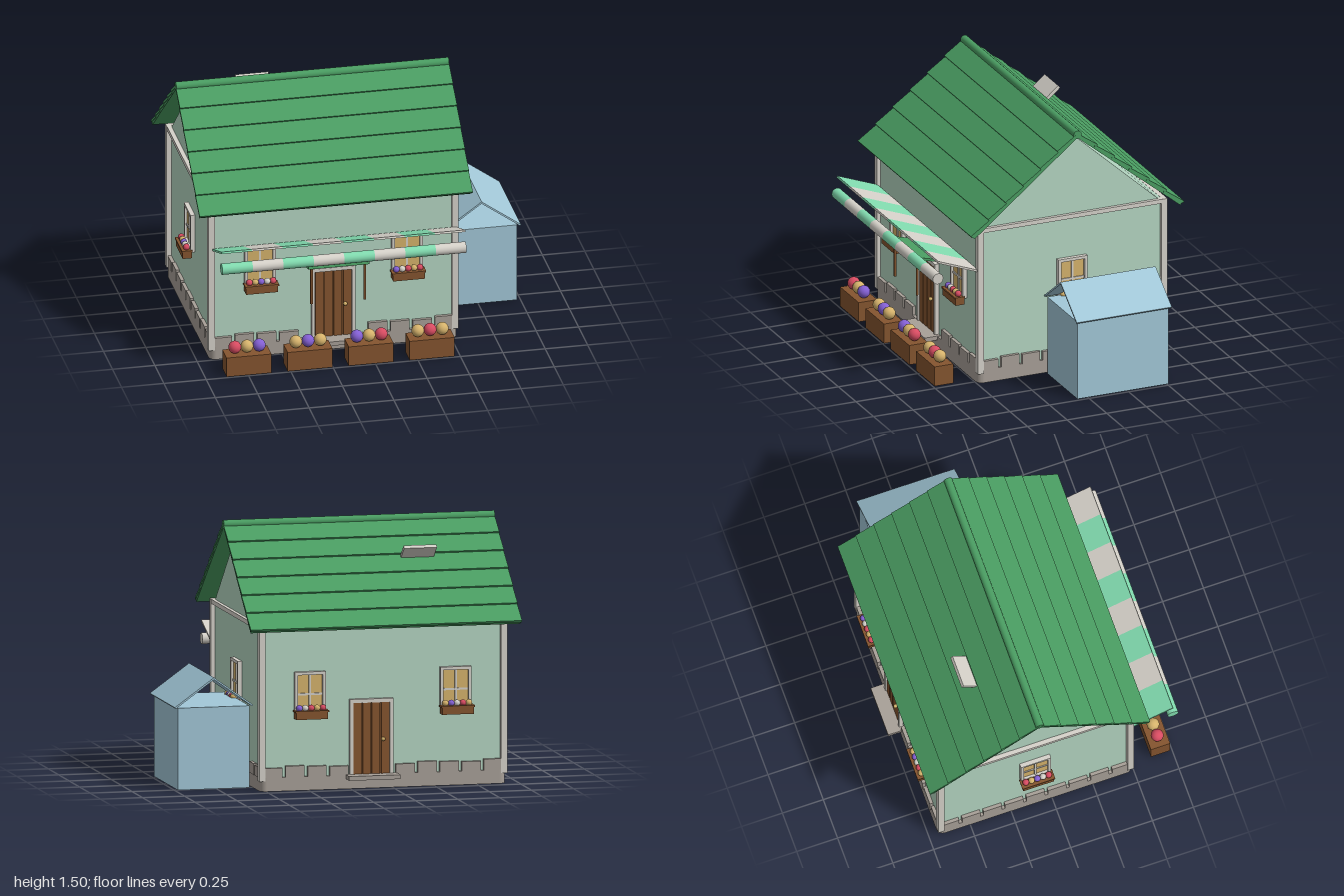
import * as THREE from 'three';

const mat = (name, color) => {
  const m = new THREE.MeshStandardMaterial({ color });
  m.name = name;
  return m;
};

export function createModel() {
  const wallGreen = mat('wall green', 0xb4d6c2);
  const roofGreen = mat('roof green', 0x4a9d62);
  const mint = mat('awning mint', 0x82dcb0);
  const trim = mat('trim white', 0xd6d2ca);
  const wood = mat('wood brown', 0x85552f);
  const stone = mat('stone grey', 0xa8a098);
  const blue = mat('shed blue', 0xa2c8d8);
  const yellow = mat('warm yellow', 0xd6b36c);
  const red = mat('flower red', 0xd84c62);
  const purple = mat('flower purple', 0x8460d4);

  const model = new THREE.Group();
  model.name = 'cottage';
  const CX = -0.195, CZ = -0.1; // centre of the house

  const add = (parent, name, geo, material, x, y, z) => {
    const m = new THREE.Mesh(geo, material);
    m.name = name;
    m.position.set(x, y, z);
    parent.add(m);
    return m;
  };
  const box = (parent, name, material, w, h, d, x, y, z) =>
    add(parent, name, new THREE.BoxGeometry(w, h, d), material, x, y, z);
  const ball = (parent, name, material, r, x, y, z) =>
    add(parent, name, new THREE.SphereGeometry(r, 20, 14), material, x, y, z);
  const group = (name, x, y, z, ry = 0) => {
    const g = new THREE.Group();
    g.name = name;
    g.position.set(x, y, z);
    g.rotation.y = ry;
    model.add(g);
    return g;
  };

  // Foundation slab with rounded corners
  const hw = 0.73, hd = 0.595, r = 0.04;
  const slab = new THREE.Shape();
  slab.absarc(hw - r, hd - r, r, 0, Math.PI / 2);
  slab.absarc(-hw + r, hd - r, r, Math.PI / 2, Math.PI);
  slab.absarc(-hw + r, -hd + r, r, Math.PI, Math.PI * 1.5);
  slab.absarc(hw - r, -hd + r, r, Math.PI * 1.5, Math.PI * 2);
  const slabGeo = new THREE.ExtrudeGeometry(slab, { depth: 0.08, bevelEnabled: false, curveSegments: 5 });
  slabGeo.rotateX(-Math.PI / 2);
  add(model, 'foundation', slabGeo, stone, CX, 0, CZ);

  // Walls and gables
  box(model, 'walls', wallGreen, 1.425, 0.88, 1.15, CX + 0.003, 0.52, CZ);
  const gable = new THREE.Shape([
    new THREE.Vector2(-0.56, 0.95), new THREE.Vector2(0.56, 0.95), new THREE.Vector2(0, 1.455)]);
  const gableGeo = new THREE.ExtrudeGeometry(gable, { depth: 1.425, bevelEnabled: false });
  gableGeo.rotateY(Math.PI / 2);
  add(model, 'gables', gableGeo, wallGreen, CX + 0.003 - 0.7125, 0, CZ);

  // Corner posts and top beams
  for (const s of [-1, 1]) {
    for (const t of [-1, 1])
      box(model, 'cornerPost', trim, 0.038, 0.9, 0.038, CX + s * 0.719, 0.51, CZ + t * 0.579);
    box(model, 'sideBeam', trim, 0.03, 0.026, 1.196, CX + s * 0.721, 0.948, CZ);
    box(model, 'longBeam', trim, 1.476, 0.026, 0.03, CX, 0.948, CZ + s * 0.583);
  }

  // Roof slopes with overlapping courses
  const pitch = Math.atan2(0.53, 0.655), len = 0.842, courses = 6, step = len / courses;
  for (const ry of [0, Math.PI]) {
    const side = group('roofSlope', CX, 1.472, CZ);
    side.rotation.set(pitch, ry, 0, 'YXZ');
    box(side, 'roofPanel', roofGreen, 1.605, 0.018, len, 0, 0, len / 2);
    for (let i = 0; i < courses; i++) {
      const c = box(side, 'roofCourse', roofGreen, 1.612, 0.014, step + 0.012, 0, 0.011, (i + 0.5) * step);
      c.rotation.x = -0.075;
    }
  }
  const ridge = add(model, 'ridge', new THREE.CylinderGeometry(0.025, 0.025, 1.61, 16), roofGreen, CX, 1.48, CZ);
  ridge.rotation.z = Math.PI / 2;

  // Raised roof hatch
  const hatch = box(model, 'roofHatch', trim, 0.195, 0.02, 0.125, -0.482, 1.318, -0.378);
  hatch.rotation.x = Math.atan2(0.08, 0.095);

  // Windows with flower boxes, modelled facing +z
  const blooms = [red, yellow, purple, trim, red, yellow];
  const addWindow = (x, z, ry, shift) => {
    const g = group('window', x, 0, z, ry);
    box(g, 'windowPane', yellow, 0.165, 0.22, 0.02, 0, 0.575, 0);
    for (const s of [-1, 1]) {
      box(g, 'frameSide', trim, 0.018, 0.236, 0.035, s * 0.083, 0.573, 0.008);
      box(g, 'frameRail', trim, 0.184, 0.018, 0.035, 0, 0.573 + s * 0.109, 0.008);
    }
    box(g, 'mullion', trim, 0.012, 0.22, 0.024, 0, 0.573, 0.004);
    box(g, 'crossbar', trim, 0.16, 0.012, 0.024, 0, 0.56, 0.004);
    box(g, 'flowerBox', wood, 0.188, 0.045, 0.055, 0, 0.442, 0.045);
    box(g, 'flowerBoxRim', wood, 0.2, 0.01, 0.062, 0, 0.465, 0.046);
    for (let i = 0; i < 5; i++)
      ball(g, 'boxFlower', blooms[(i + shift) % 6], 0.019, (i - 2) * 0.035, 0.483, 0.046);
  };
  const front = 0.475, back = -0.675, right = 0.52, left = -0.905;
  [-0.627, 0.24].forEach((x, i) => {
    addWindow(x, front, 0, i * 2);
    addWindow(x, back, Math.PI, i + 1);
  });
  addWindow(right, CZ, Math.PI / 2, 1);
  addWindow(left, CZ, -Math.PI / 2, 0);

  // Plank doors with frame, knob and step
  const addDoor = (x, z, ry) => {
    const g = group('door', x, 0, z, ry);
    box(g, 'doorBack', wood, 0.22, 0.42, 0.016, 0, 0.29, 0);
    for (let i = 0; i < 4; i++)
      box(g, 'doorPlank', wood, 0.048, 0.42, 0.024, (i - 1.5) * 0.055, 0.29, 0.006);
    for (const s of [-1, 1]) box(g, 'doorJamb', trim, 0.02, 0.44, 0.04, s * 0.119, 0.3, 0.006);
    box(g, 'doorLintel', trim, 0.258, 0.022, 0.04, 0, 0.51, 0.006);
    ball(g, 'doorKnob', yellow, 0.012, 0.068, 0.285, 0.027);
    box(g, 'doorStep', stone, 0.305, 0.025, 0.11, 0, 0.071, 0.045);
  };
  addDoor(CX, front, 0);
  addDoor(-0.125, back, Math.PI);

  // Base stones around the walls
  const addStones = (x, z, ry, count, gap) => {
    const g = group('baseStones', x, 0, z, ry);
    for (let i = 0; i < count; i++) {
      const px = (i - (count - 1) / 2) * 0.131;
      if (gap !== null && Math.abs(px - gap) < 0.185) continue;
      const h = 0.055 + ((i * 2) % 3) * 0.005;
      box(g, 'baseStone', stone, 0.112, h, 0.03, px, 0.08 + h / 2, 0.005);
    }
  };
  addStones(CX, front, 0, 11, 0);
  addStones(CX, back, Math.PI, 11, -0.07);
  addStones(right, CZ, Math.PI / 2, 9, null);
  addStones(left, CZ, -Math.PI / 2, 9, null);

  // Striped awning sheet and its roll
  for (let i = 0; i < 8; i++) {
    const m = i % 2 ? trim : mint, x = -0.91 + 0.18 * (i + 0.5);
    const sheet = box(model, 'awningStripe', m, 0.18, 0.012, 0.272, x, 0.747, 0.618);
    sheet.rotation.x = -Math.atan2(0.095, 0.25);
    const roll = add(model, 'awningRoll', new THREE.CylinderGeometry(0.033, 0.033, 0.18, 20), m, x, 0.692, 0.745);
    roll.rotation.z = Math.PI / 2;
  }

  // Door canopy with hanging posts
  const canopy = box(model, 'doorCanopy', roofGreen, 0.36, 0.015, 0.165, CX, 0.581, 0.57);
  canopy.rotation.x = -Math.atan2(0.04, 0.155);
  for (const s of [-1, 1])
    add(model, 'canopyPost', new THREE.CylinderGeometry(0.008, 0.008, 0.225, 10), wood, CX + s * 0.157, 0.475, 0.625);

  // Front planters
  const planting = [
    [red, yellow, purple], [yellow, purple, yellow], [purple, yellow, red], [yellow, red, yellow]];
  planting.forEach((flowers, i) => {
    const g = group('planter', -0.745 + i * 0.36, 0, 0.68);
    box(g, 'planterBox', wood, 0.265, 0.12, 0.118, 0, 0.06, 0);
    flowers.forEach((f, j) => ball(g, 'planterFlower', f, 0.037, (j - 1) * 0.072, 0.157, 0));
  });

  // Side shed with an open-ended roof
  const shed = group('shed', 0.768, 0, -0.222);
  box(shed, 'shedBody', blue, 0.425, 0.478, 0.575, 0, 0.239, 0);
  for (const s of [-1, 1]) {
    const p = box(shed, 'shedRoof', blue, 0.286, 0.01, 0.6, s * 0.114, 0.563, 0);
    p.rotation.z = -s * Math.atan2(0.165, 0.23);
  }

  return model;
}
